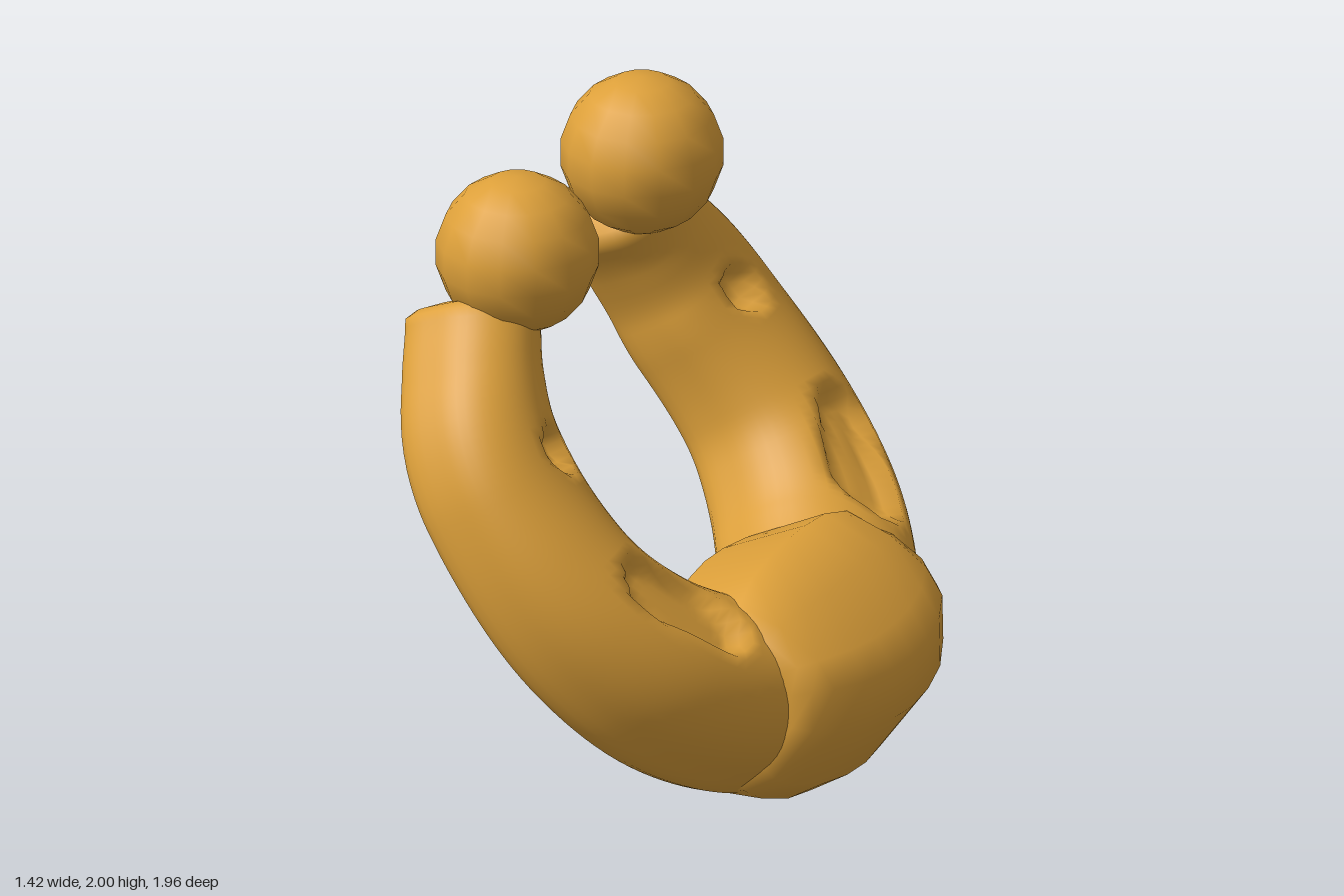
import * as THREE from 'three';

const V = (x, y, z) => new THREE.Vector3(x, y, z);
const { smoothstep, clamp } = THREE.MathUtils;

// Skin a list of closed rings (all the same length) and cap both ends
function loft(rings) {
  const n = rings[0].length, pos = [], idx = [];
  rings.forEach(r => r.forEach(p => pos.push(p.x, p.y, p.z)));
  for (let i = 0; i < rings.length - 1; i++) {
    for (let j = 0; j < n; j++) {
      const a = i * n + j, b = i * n + (j + 1) % n;
      idx.push(a, b, a + n, b, b + n, a + n);
    }
  }
  [0, rings.length - 1].forEach((i, end) => {
    const c = V(0, 0, 0);
    rings[i].forEach(p => c.addScaledVector(p, 1 / n));
    const k = pos.length / 3;
    pos.push(c.x, c.y, c.z);
    for (let j = 0; j < n; j++) {
      const a = i * n + j, b = i * n + (j + 1) % n;
      if (end) idx.push(k, a, b); else idx.push(k, b, a);
    }
  });
  const g = new THREE.BufferGeometry();
  g.setAttribute('position', new THREE.Float32BufferAttribute(pos, 3));
  g.setIndex(idx);
  g.computeVertexNormals();
  return g;
}

const falloff = (d, r) => 1 - smoothstep(d, r * 0.55, r);

// Depth of the round pit and the longer groove on the front of each arm
function dent(p) {
  const y = p.y, z = Math.abs(p.z);
  const pit = falloff(Math.hypot(y - 1.25, z - 0.65), 0.075) * 0.06;
  const ay = 0.87, az = 0.69, dy = -0.14, dz = -0.15;
  const t = clamp(((y - ay) * dy + (z - az) * dz) / (dy * dy + dz * dz), 0, 1);
  const groove = falloff(Math.hypot(y - ay - t * dy, z - az - t * dz), 0.1) * 0.06;
  return Math.max(pit, groove);
}

// Horseshoe body: D-shaped section, flat at the back, swept along a leaning U
function horseshoeGeometry() {
  const half = [[0.27, 0.36, 0.3], [0.13, 0.5, 0.55], [-0.03, 0.7, 0.685], [-0.185, 0.92, 0.73],
    [-0.385, 1.22, 0.687], [-0.47, 1.39, 0.595], [-0.525, 1.54, 0.49]];
  const pts = [...half.map(([x, y, z]) => V(x, y, -z)).reverse(), V(0.3, 0.33, 0), ...half.map(a => V(...a))];
  const curve = new THREE.CatmullRomCurve3(pts);
  const N = 120, M = 48, rings = [];
  const addRing = (u, scale, shift) => {
    const c = curve.getPointAt(u), t = curve.getTangentAt(u);
    const k = clamp((c.y - 0.3) / 1.24, 0, 1);
    const n = V(0.72 + 0.18 * k, 0.69 - 0.26 * k, 0);
    n.addScaledVector(t, -n.dot(t)).normalize();
    const b = n.clone().cross(t);
    c.addScaledVector(t, shift);
    // Half sizes: deeper and wider on the inside near the bend, slimmer at the tips
    const tip = smoothstep(k, 0.65, 1);
    const outer = 0.25 - 0.075 * tip;
    const inner = outer + 0.07 * (1 - smoothstep(k, 0.1, 0.45));
    const front = 0.2 + 0.095 * (1 - smoothstep(k, 0.1, 0.7));
    const back = 0.212 - 0.03 * tip;
    const ring = [];
    for (let j = 0; j < M; j++) {
      const a = j / M * Math.PI * 2, ca = Math.cos(a), sa = Math.sin(a);
      const e = sa < 0 ? 2 + 3 * Math.min(1, -sa * 2) : 2;
      const r = scale * Math.pow(Math.abs(ca) ** e + Math.abs(sa) ** e, -1 / e);
      const p = c.clone().addScaledVector(b, ca * r * (ca < 0 ? inner : outer))
        .addScaledVector(n, sa * r * (sa < 0 ? back : front));
      if (sa > 0) p.addScaledVector(n, -dent(p));
      ring.push(p);
    }
    rings.push(ring);
  };
  addRing(0, 0.55, -0.045);
  addRing(0, 0.85, -0.025);
  for (let i = 0; i <= N; i++) addRing(i / N, 1, 0);
  addRing(1, 0.85, 0.025);
  addRing(1, 0.55, 0.045);
  return loft(rings);
}

// Thick block around the bend: one section (outward, forward) shrunk towards each end,
// with its inner side drawn in faster so that it arches between the arms
function collarGeometry() {
  const section = [[0.22, -0.26], [0.31, -0.16], [0.34, -0.02], [0.29, 0.25], [0.17, 0.36],
    [0.06, 0.38], [-0.14, 0.345], [-0.34, 0.27], [-0.44, -0.02], [-0.36, -0.22], [-0.08, -0.25]];
  const steps = [[0.46, 0.65, 0.5], [0.44, 0.8, 0.58], [0.38, 0.89, 0.75], [0.25, 0.965, 0.91], [0.12, 0.99, 0.98]];
  const all = [...steps.map(([z, s, f]) => [-z, s, f]), [0, 1, 1], ...steps.slice().reverse()];
  return loft(all.map(([z, s, f]) => {
    const up = 0.4 * z * z;
    return section.map(([b, n]) => {
      const out = b < 0 ? b * f : b;
      return V(0.32 - 0.69 * up + s * (0.69 * out + 0.72 * n),
        0.338 + 0.72 * up + s * (-0.72 * out + 0.69 * n), z);
    });
  }));
}

export function createModel() {
  const group = new THREE.Group();
  const gold = new THREE.MeshStandardMaterial({ color: 0xdda03a });
  gold.name = 'gold';
  const add = (name, geometry) => {
    const mesh = new THREE.Mesh(geometry, gold);
    mesh.name = name;
    group.add(mesh);
    return mesh;
  };

  add('horseshoeBody', horseshoeGeometry());
  add('bendCollar', collarGeometry());

  // Ball ends
  const ball = new THREE.SphereGeometry(0.25, 14, 9);
  add('leftBall', ball).position.set(-0.43, 1.75, 0.408);
  add('rightBall', ball).position.set(-0.42, 1.73, -0.45);

  return group;
}
